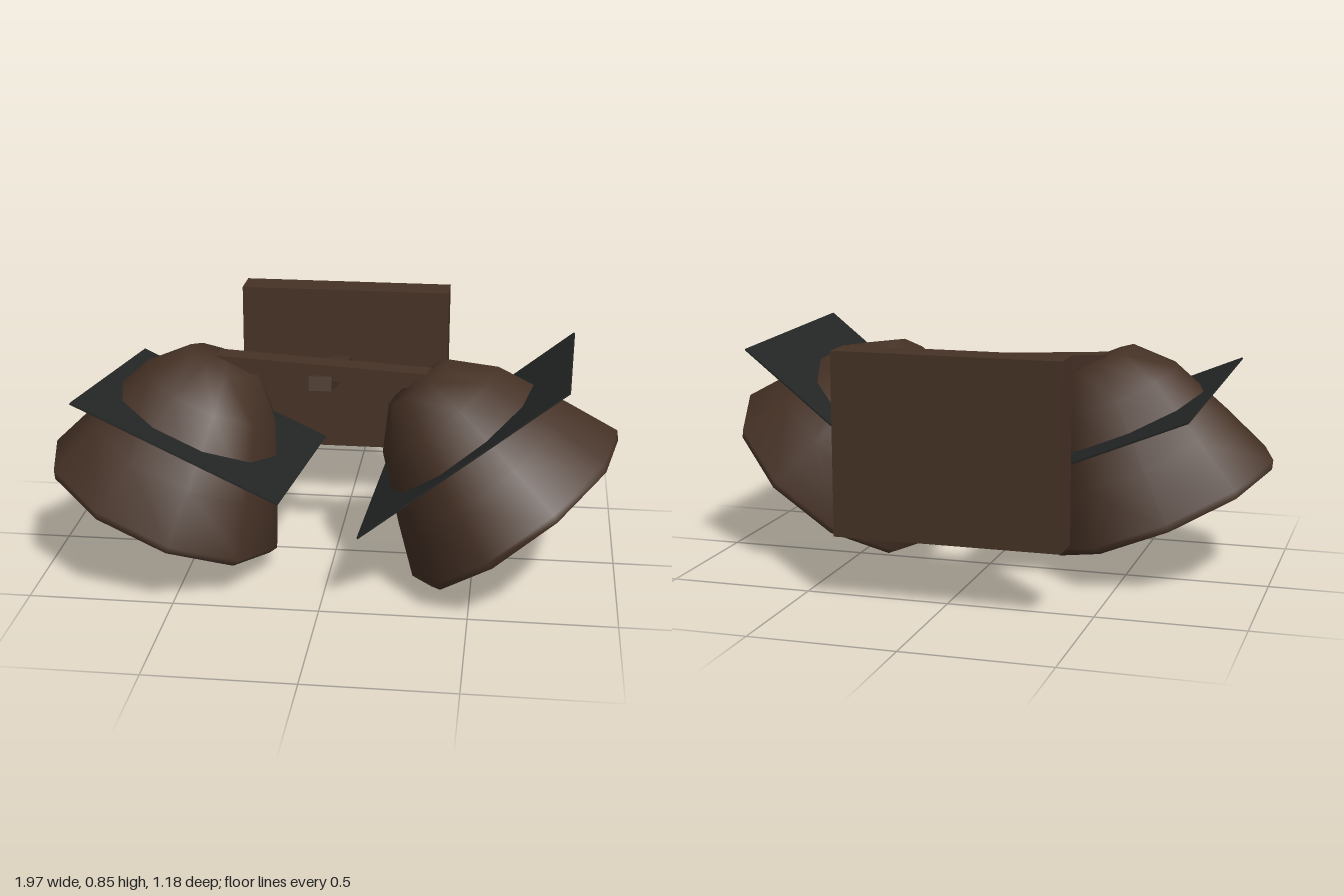
import * as THREE from 'three';

export function createModel() {
  const bronze = new THREE.MeshStandardMaterial({ color: 0x463226, side: THREE.DoubleSide });
  bronze.name = 'dark bronze';
  const black = new THREE.MeshStandardMaterial({ color: 0x242525 });
  black.name = 'black';
  const glass = new THREE.MeshStandardMaterial({ color: 0xe8e5da });
  glass.name = 'warm white';

  const model = new THREE.Group();
  model.name = 'twinWallLamp';

  function add(parent, name, geometry, material, x = 0, y = 0, z = 0) {
    const mesh = new THREE.Mesh(geometry, material);
    mesh.name = name;
    mesh.position.set(x, y, z);
    parent.add(mesh);
    return mesh;
  }

  // Wall plate, sloping arm and crossbar
  add(model, 'wallPlate', new THREE.BoxGeometry(0.775, 0.622, 0.125), bronze, -0.022, 0.547, -0.528);
  const arm = add(model, 'arm', new THREE.BoxGeometry(0.08, 0.05, 0.65), bronze, -0.035, 0.64, -0.148);
  arm.rotation.x = -Math.atan2(0.13, 0.635);
  const bar = add(model, 'crossbar', new THREE.BoxGeometry(0.74, 0.055, 0.08), bronze, -0.03, 0.733, 0.095);
  bar.rotation.z = -0.055;

  // Shade outline from rim to crown, as radius and height
  const profile = [[0.42, 0], [0.437, 0.03], [0.36, 0.21], [0.247, 0.45], [0.13, 0.57], [0, 0.58]]
    .map(([r, h]) => new THREE.Vector2(r, h));

  // One tilted lamp head: ten-sided shade, square baffle plate and bulb
  function lampHead(name, rim, across, depth, turn, width, length, plateAt) {
    const head = new THREE.Group();
    head.name = name;
    const u = new THREE.Vector3(...across).normalize();
    const w = new THREE.Vector3(...depth).normalize();
    const axis = w.clone().cross(u).normalize();
    w.crossVectors(u, axis);
    head.quaternion.setFromRotationMatrix(new THREE.Matrix4().makeBasis(u, axis, w));
    head.position.set(...rim);
    const start = -THREE.MathUtils.degToRad(turn);
    add(head, 'shade', new THREE.LatheGeometry(profile, 10, start), bronze);
    add(head, 'bafflePlate', new THREE.BoxGeometry(width, 0.006, length), black, ...plateAt);
    add(head, 'bulb', new THREE.SphereGeometry(0.12, 24, 16), glass, 0, 0.33, 0);
    model.add(head);
  }

  lampHead('leftLampHead', [0.655, 0.267, 0.163], [0.782, 0.624, 0], [-0.033, 0.046, 1],
    11, 0.857, 0.76, [0.033, 0.325, -0.01]);
  lampHead('rightLampHead', [-0.6, 0.235, 0.15], [0.917, -0.389, 0.092], [-0.064, 0.099, 0.993],
    18, 0.758, 0.861, [0.024, 0.335, -0.015]);

  return model;
}
